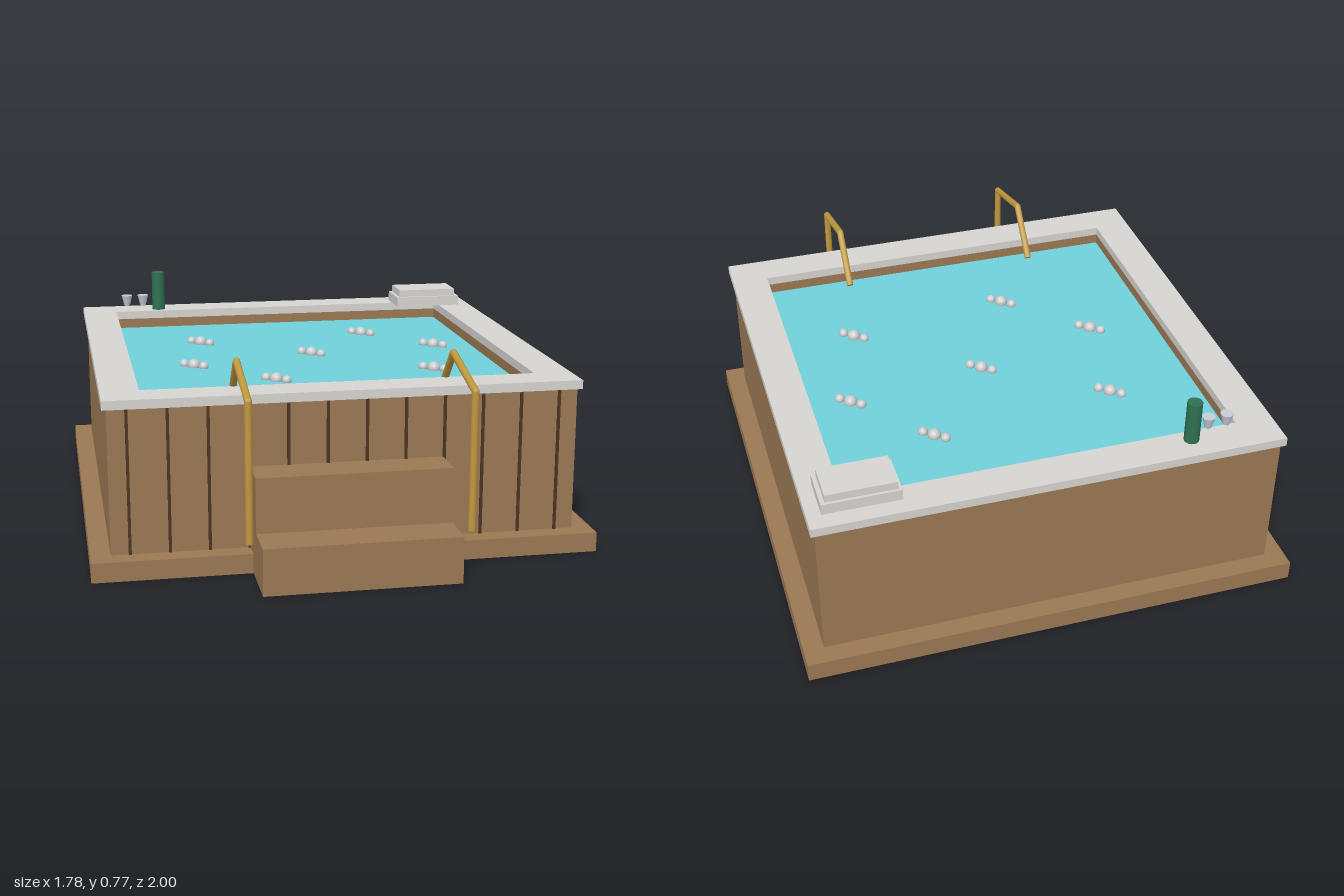
import * as THREE from 'three';

const mat = (color) => new THREE.MeshStandardMaterial({ color });

export function createModel() {
  const tub = new THREE.Group();
  tub.name = 'hotTub';
  const wood = mat(0x9b7853), darkWood = mat(0x4a3423), stone = mat(0xd6d4d0);
  const water = mat(0x70d0da), gold = mat(0xc0983f), green = mat(0x2f7050);
  const grey = mat(0xcccccc), glass = mat(0xc4ccd6);

  const add = (name, geometry, material, parent = tub) => {
    const mesh = new THREE.Mesh(geometry, material);
    mesh.name = name;
    parent.add(mesh);
    return mesh;
  };
  // box given by its limits on each axis
  const box = (name, [x0, x1], [y0, y1], [z0, z1], material) => {
    const mesh = add(name, new THREE.BoxGeometry(x1 - x0, y1 - y0, z1 - z0), material);
    mesh.position.set((x0 + x1) / 2, (y0 + y1) / 2, (z0 + z1) / 2);
    return mesh;
  };
  const centreZ = -0.11;
  const rectangle = (path, w, d) => {
    path.moveTo(-w, -d); path.lineTo(w, -d); path.lineTo(w, d); path.lineTo(-w, d);
    path.closePath();
    return path;
  };
  // rectangular frame lying flat, with half sizes outside and inside
  const frame = (name, ow, od, inner, y0, y1, material) => {
    const shape = rectangle(new THREE.Shape(), ow, od);
    shape.holes.push(rectangle(new THREE.Path(), inner, inner));
    const geometry = new THREE.ExtrudeGeometry(shape, { depth: y1 - y0, bevelEnabled: false });
    geometry.rotateX(-Math.PI / 2);
    add(name, geometry, material).position.set(0, y0, centreZ);
  };

  // deck, walls, rim and water
  box('deck', [-0.89, 0.89], [0, 0.07], [-1, 0.78], wood);
  frame('walls', 0.82, 0.82, 0.7, 0.07, 0.583, wood);
  frame('rim', 0.835, 0.833, 0.7, 0.583, 0.615, stone);
  box('water', [-0.7, 0.7], [0.5, 0.545], [-0.81, 0.59], water);

  // dark seams between the front planks
  for (let i = 0; i < 12; i++) {
    const x = (i - 5.5) * 0.137;
    box('plankSeam', [x - 0.005, x + 0.005], [0.07, 0.58], [0.705, 0.717], darkWood);
  }

  // steps
  box('upperStep', [-0.34, 0.34], [0.165, 0.36], [0.7, 0.85], wood);
  box('lowerStep', [-0.34, 0.34], [0, 0.165], [0.7, 1], wood);

  // handrails of straight bars
  const up = new THREE.Vector3(0, 1, 0);
  for (const x of [-0.377, 0.377]) {
    const rail = new THREE.Group();
    rail.name = 'handrail';
    tub.add(rail);
    const points = [[0.17, 0.955], [0.652, 0.955], [0.722, 0.678], [0.56, 0.53]]
      .map(([y, z]) => new THREE.Vector3(x, y, z));
    for (let i = 0; i < 3; i++) {
      const along = points[i + 1].clone().sub(points[i]);
      const bar = add('railBar', new THREE.CylinderGeometry(0.013, 0.013, along.length(), 12), gold, rail);
      bar.position.copy(points[i]).addScaledVector(along, 0.5);
      bar.quaternion.setFromUnitVectors(up, along.normalize());
      if (i) add('railJoint', new THREE.SphereGeometry(0.013, 12, 8), gold, rail).position.copy(points[i]);
    }
  }

  // clusters of three bubbles on the water
  const clusters = [[-0.38, -0.43], [0.305, -0.5], [0.03, -0.155], [0.545, -0.225],
    [-0.45, -0.02], [-0.175, 0.255], [0.44, 0.185]];
  for (const [x, z] of clusters) {
    const bubbles = new THREE.Group();
    bubbles.name = 'bubbles';
    bubbles.position.set(x, 0.552, z);
    tub.add(bubbles);
    for (const s of [-1, 0, 1]) {
      add('bubble', new THREE.SphereGeometry(s ? 0.018 : 0.024, 14, 10), grey, bubbles)
        .position.set(s * 0.034, 0, s * 0.028);
    }
  }

  // bottle and two cups on the back rim
  add('bottle', new THREE.CylinderGeometry(0.027, 0.027, 0.16, 16), green)
    .position.set(-0.515, 0.695, -0.855);
  for (const x of [-0.652, -0.584]) {
    add('cup', new THREE.CylinderGeometry(0.023, 0.012, 0.044, 14), glass)
      .position.set(x, 0.66, -0.832);
  }

  // folded towels
  box('lowerTowel', [0.512, 0.785], [0.615, 0.655], [-0.88, -0.715], stone);
  box('upperTowel', [0.525, 0.77], [0.655, 0.684], [-0.87, -0.727], stone);
  return tub;
}
